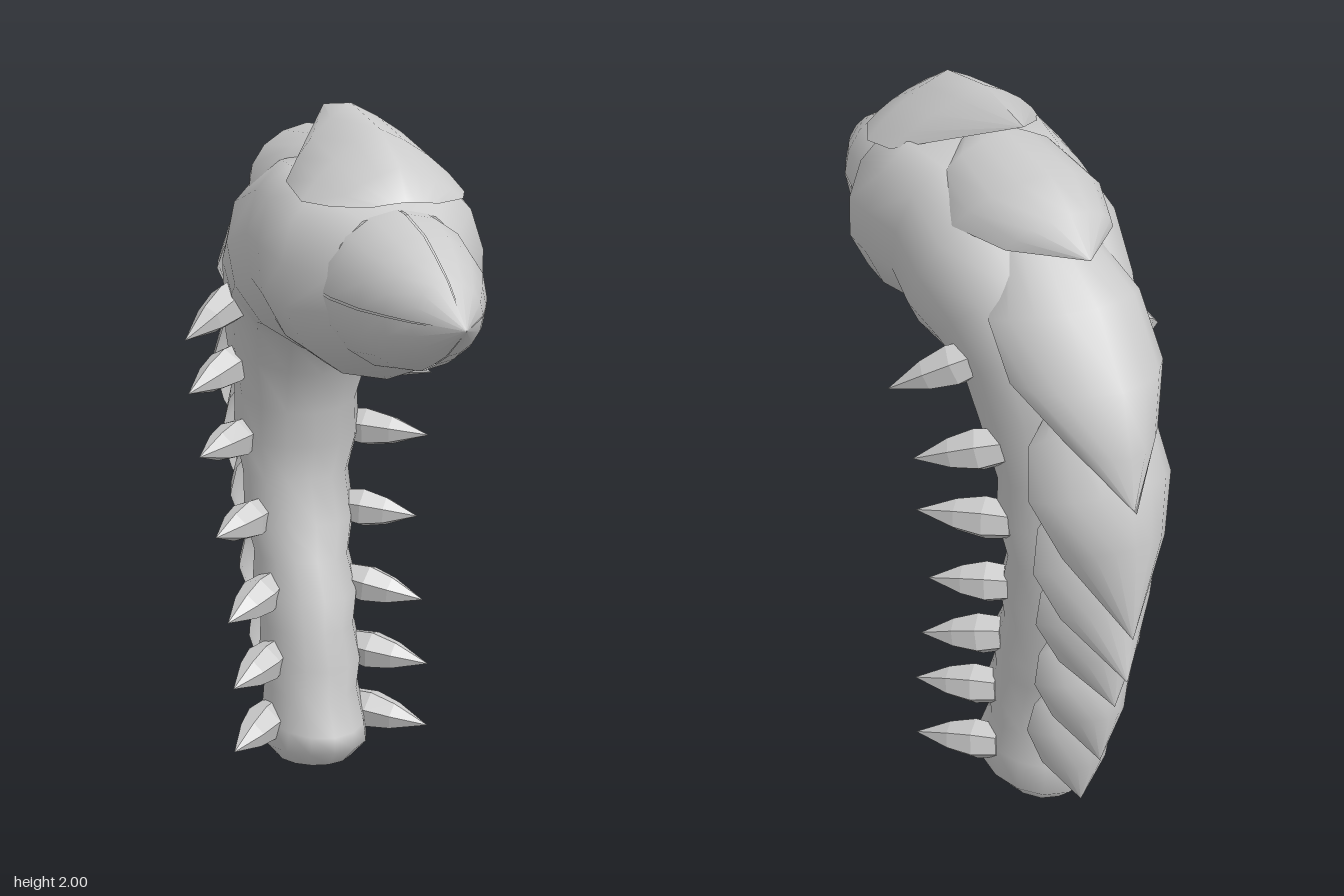
import * as THREE from 'three';

const grey = new THREE.MeshStandardMaterial({ color: 0xcccccc });
const thin = new THREE.MeshStandardMaterial({ color: 0xcccccc, side: THREE.DoubleSide });
const faceted = new THREE.MeshStandardMaterial({ color: 0xcccccc, flatShading: true });

// Surface through rows of points; each row has the same number of points
function skin(rows) {
  const n = rows[0].length, index = [];
  for (let i = 0; i < rows.length - 1; i++) {
    for (let j = 0; j < n - 1; j++) {
      const a = i * n + j, b = a + 1, c = a + n, d = c + 1;
      index.push(a, b, c, b, d, c);
    }
  }
  const g = new THREE.BufferGeometry();
  g.setAttribute('position', new THREE.Float32BufferAttribute(rows.flat(2), 3));
  g.setIndex(index);
  g.computeVertexNormals();
  // join the shading where a closed row meets itself
  const p = g.attributes.position, nor = g.attributes.normal;
  const u = new THREE.Vector3(), v = new THREE.Vector3();
  rows.forEach((row, i) => {
    const s = i * n, e = s + n - 1;
    u.fromBufferAttribute(p, s);
    v.fromBufferAttribute(p, e);
    if (u.distanceTo(v) > 1e-5) return;
    u.fromBufferAttribute(nor, s).add(v.fromBufferAttribute(nor, e)).normalize();
    nor.setXYZ(s, u.x, u.y, u.z);
    nor.setXYZ(e, u.x, u.y, u.z);
  });
  return g;
}

function add(parent, name, geometry, material) {
  const m = new THREE.Mesh(geometry, material);
  m.name = name;
  parent.add(m);
  return m;
}

// Oval ring between a belly point and a back point (z, y) with half width w;
// a power below 1 broadens the back half
function ring([fz, fy, bz, by, w, power = 1], sides = 14) {
  const row = [];
  for (let j = 0; j <= sides; j++) {
    const t = (j % sides) / sides * Math.PI * 2, c = Math.cos(t), s = Math.sin(t);
    const x = Math.sign(s) * Math.abs(s) ** (c < 0 ? power : 1);
    row.push([w * x, (fy + by) / 2 + (fy - by) / 2 * c, (fz + bz) / 2 + (fz - bz) / 2 * c]);
  }
  return row;
}

// Curved leaf: ridge points and edge points as [z, y], half widths, roundness k
function leaf(ridge, edge, widths, k = 0.8) {
  const rows = ridge.map(([rz, ry], i) => {
    const [ez, ey] = edge[i], row = [];
    for (let j = -4; j <= 4; j++) {
      const u = j / 4, a = u * Math.PI / 2;
      const x = THREE.MathUtils.lerp(u, Math.sin(a), k);
      const d = THREE.MathUtils.lerp(Math.abs(u), 1 - Math.cos(a), k);
      row.push([widths[i] * x, ry + (ey - ry) * d, rz + (ez - rz) * d]);
    }
    return row;
  });
  return skin(rows);
}

export function createModel() {
  const model = new THREE.Group();
  model.name = 'hookedNeckCreature';

  // Neck and head: belly z, y, back z, y, half width, back power
  const sections = [
    [-0.17, 0.025, -0.45, 0.0, 0.11],
    [-0.115, 0.08, -0.51, 0.06, 0.158],
    [-0.115, 0.13, -0.51, 0.16, 0.15],
    [-0.17, 0.23, -0.49, 0.25, 0.138],
    [-0.16, 0.32, -0.51, 0.34, 0.15],
    [-0.20, 0.42, -0.52, 0.43, 0.138],
    [-0.20, 0.52, -0.56, 0.52, 0.155],
    [-0.26, 0.62, -0.56, 0.63, 0.14],
    [-0.27, 0.73, -0.59, 0.73, 0.163],
    [-0.32, 0.86, -0.595, 0.86, 0.158],
    [-0.28, 0.97, -0.62, 1.00, 0.185],
    [-0.28, 1.07, -0.62, 1.15, 0.182],
    [-0.22, 1.20, -0.62, 1.35, 0.215],
    [-0.16, 1.30, -0.57, 1.51, 0.235, 0.9],
    [-0.10, 1.31, -0.46, 1.67, 0.265, 0.8],
    [0.00, 1.31, -0.29, 1.80, 0.295, 0.7],
    [0.06, 1.335, -0.08, 1.87, 0.285, 0.65],
    [0.18, 1.31, 0.08, 1.88, 0.30, 0.55],
    [0.30, 1.31, 0.25, 1.84, 0.285, 0.55],
    [0.40, 1.365, 0.38, 1.77, 0.195, 0.8],
  ];
  const first = sections[0], last = sections[sections.length - 1];
  add(model, 'neckAndHead', skin(sections.map(s => ring(s))), grey);
  add(model, 'neckBase', skin([ring([-0.31, 0.012, -0.31, 0.012, 0]), ring(first)]), grey);
  add(model, 'mouthCap', skin([ring(last), ring([0.38, 1.565, 0.38, 1.565, 0])]), grey);

  // Four-part closed beak around a narrow core
  const beak = new THREE.Group();
  beak.name = 'beak';
  beak.position.y = 1.58;
  beak.rotation.x = Math.PI / 2 + 0.03;
  const profile = [[0.205, 0.34], [0.203, 0.42], [0.174, 0.55], [0.137, 0.63], [0.095, 0.71], [0, 0.835]];
  const turned = (f, start, length, n) => new THREE.LatheGeometry(
    profile.map(([r, h]) => new THREE.Vector2(r * f, h)), n, start, length);
  for (let q = 0; q < 4; q++) {
    add(beak, 'beakQuarter', turned(1, q * Math.PI / 2 + 0.015, Math.PI / 2 - 0.03, 4), thin);
  }
  add(beak, 'beakCore', turned(0.95, 0, Math.PI * 2, 16), grey);
  model.add(beak);

  // Crown plate, its sides sunk into the head
  add(model, 'crownPlate', leaf(
    [[0.43, 1.80], [0.38, 1.88], [0.24, 1.96], [0.02, 2.0], [-0.2, 1.97]],
    [[0.42, 1.79], [0.37, 1.79], [0.27, 1.79], [0.13, 1.82], [-0.2, 1.97]],
    [0.09, 0.18, 0.225, 0.22, 0], 0.35), thin);

  // Overlapping plates down the back: ridge, edge, half width, taper
  const leafTaper = [0.4, 0.88, 1, 0.72, 0], longTaper = [0.6, 0.95, 0.95, 0.6, 0];
  const plates = [
    [[[0, 1.9], [-0.1, 1.92], [-0.34, 1.9], [-0.45, 1.84], [-0.56, 1.76]],
      [[0.02, 1.84], [-0.08, 1.79], [-0.22, 1.75], [-0.4, 1.75], [-0.56, 1.76]], 0.21, leafTaper],
    [[[-0.36, 1.77], [-0.6, 1.65], [-0.74, 1.48], [-0.79, 1.32], [-0.81, 1.18]],
      [[-0.35, 1.7], [-0.42, 1.58], [-0.54, 1.46], [-0.67, 1.35], [-0.825, 1.18]], 0.22, longTaper],
    [[[-0.59, 1.46], [-0.71, 1.39], [-0.79, 1.22], [-0.83, 1.08], [-0.83, 0.8]],
      [[-0.56, 1.42], [-0.58, 1.29], [-0.63, 1.16], [-0.71, 1.02], [-0.83, 0.8]], 0.2, leafTaper],
    [[[-0.63, 1.19], [-0.71, 1.14], [-0.75, 1.0], [-0.77, 0.87], [-0.81, 0.65]],
      [[-0.6, 1.16], [-0.6, 1.05], [-0.62, 0.93], [-0.68, 0.81], [-0.81, 0.65]], 0.18, leafTaper],
    [[[-0.62, 0.95], [-0.71, 0.93], [-0.75, 0.82], [-0.76, 0.7], [-0.75, 0.53]],
      [[-0.59, 0.93], [-0.59, 0.84], [-0.6, 0.75], [-0.65, 0.65], [-0.75, 0.53]], 0.16, leafTaper],
    [[[-0.59, 0.72], [-0.65, 0.69], [-0.7, 0.58], [-0.72, 0.47], [-0.68, 0.3]],
      [[-0.56, 0.71], [-0.56, 0.62], [-0.57, 0.53], [-0.6, 0.43], [-0.68, 0.3]], 0.145, leafTaper],
    [[[-0.55, 0.5], [-0.6, 0.48], [-0.63, 0.36], [-0.63, 0.24], [-0.58, 0.09]],
      [[-0.53, 0.49], [-0.52, 0.42], [-0.51, 0.33], [-0.53, 0.22], [-0.58, 0.09]], 0.135, leafTaper],
  ];
  for (const [ridge, edge, w, taper] of plates) {
    add(model, 'backPlate', leaf(ridge, edge, taper.map(t => t * w)), thin);
  }

  // Paired side spikes: base x, y, z and tip x, y, z
  const spikes = [
    [0.12, 0.15, -0.32, 0.30, 0.12, -0.14],
    [0.12, 0.34, -0.31, 0.30, 0.315, -0.14],
    [0.12, 0.54, -0.34, 0.30, 0.50, -0.185],
    [0.13, 0.75, -0.40, 0.31, 0.735, -0.26],
    [0.15, 0.985, -0.45, 0.35, 0.975, -0.275],
    [0.17, 1.215, -0.44, 0.37, 1.155, -0.305],
    [0.19, 1.435, -0.34, 0.40, 1.33, -0.225],
  ];
  for (const [bx, by, bz, tx, ty, tz] of spikes) {
    for (const side of [1, -1]) {
      const base = new THREE.Vector3(bx * side, by, bz);
      const dir = new THREE.Vector3(tx * side, ty, tz).sub(base);
      const len = dir.length();
      const shape = [[0, 0], [0.05, 0], [0.06, 0.28], [0.044, 0.58], [0, 1]];
      const spike = add(model, side > 0 ? 'leftSpike' : 'rightSpike', new THREE.LatheGeometry(
        shape.map(([r, h]) => new THREE.Vector2(r, h * len)), 6), faceted);
      spike.position.copy(base);
      spike.quaternion.setFromUnitVectors(new THREE.Vector3(0, 1, 0), dir.normalize());
    }
  }
  return model;
}
